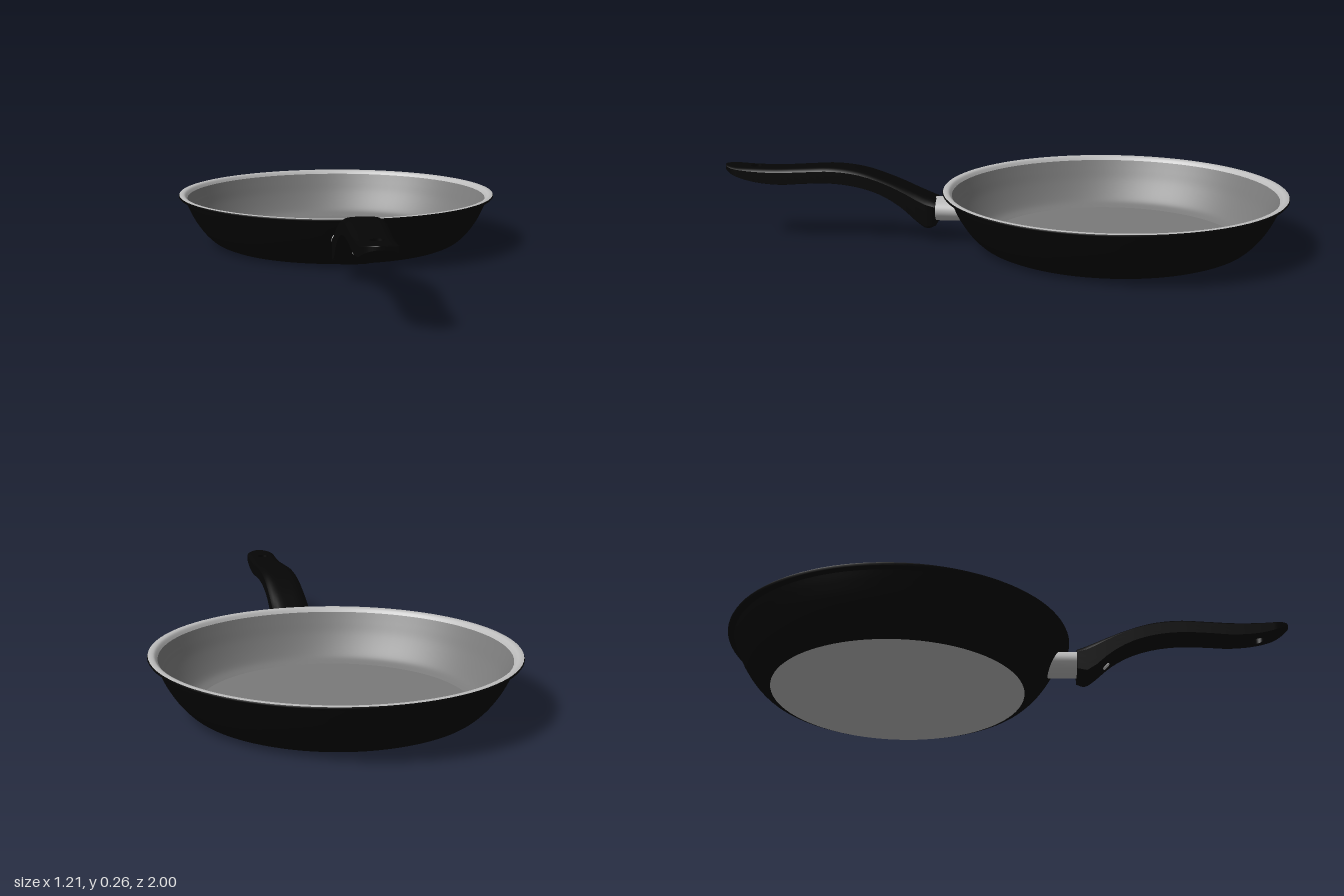
import * as THREE from 'three';
import { ParametricGeometry } from 'three/addons/geometries/ParametricGeometry.js';

const material = (name, color) => Object.assign(new THREE.MeshStandardMaterial({ color }), { name });
const black = material('black', 0x050505);
const coating = material('coating grey', 0x7a7a7a);
const steel = material('steel', 0xbcbcbc);

const PAN_Z = -0.395;
const BASE_Z = 0.235, TIP_Z = 1, HOLE_Z = 0.887, HOLE_R = 0.022;

function part(name, geometry, mat) {
  const mesh = new THREE.Mesh(geometry, mat);
  mesh.name = name;
  return mesh;
}

// Turns a profile of [radius, height] pairs around the pan's axis
function turned(name, points, mat, smoothSteps = 0) {
  let pts = points.map(([r, y]) => new THREE.Vector2(r, y));
  if (smoothSteps) pts = new THREE.SplineCurve(pts).getPoints(smoothSteps);
  return part(name, new THREE.LatheGeometry(pts, 96), mat);
}

function createPan() {
  const pan = new THREE.Group();
  pan.name = 'pan';
  pan.position.z = PAN_Z;
  pan.add(
    turned('base', [[0, 0], [0.445, 0]], steel),
    turned('outerWall', [[0.445, 0], [0.478, 0.016], [0.515, 0.052], [0.548, 0.1],
      [0.57, 0.145], [0.583, 0.176]], black, 24),
    turned('lip', [[0.583, 0.176], [0.602, 0.18], [0.606, 0.185], [0.604, 0.19]], black),
    turned('rim', [[0.604, 0.19], [0.594, 0.191], [0.583, 0.188], [0.573, 0.176]], steel, 10),
    turned('innerWall', [[0.573, 0.176], [0.557, 0.142], [0.536, 0.1], [0.507, 0.056],
      [0.48, 0.026], [0.45, 0.012]], coating, 24),
    turned('floor', [[0.45, 0.012], [0, 0.012]], coating),
  );
  return pan;
}

// Upper and lower edges of the handle seen from the side
const curve = (pairs) => {
  const c = new THREE.CubicInterpolant(pairs.map((p) => p[0]), pairs.map((p) => p[1]), 1);
  return (z) => c.evaluate(z)[0];
};
const topEdge = curve([[0.235, 0.15], [0.3, 0.178], [0.4, 0.22], [0.5, 0.252], [0.6, 0.264],
  [0.7, 0.26], [0.8, 0.255], [0.9, 0.256], [1, 0.262]]);
const bottomEdge = curve([[0.235, 0.056], [0.265, 0.046], [0.3, 0.068], [0.35, 0.115], [0.42, 0.16],
  [0.5, 0.188], [0.6, 0.202], [0.7, 0.2], [0.8, 0.194], [0.9, 0.205], [0.96, 0.225], [1, 0.248]]);

// Half width of the handle, with a round tip
function halfWidth(z) {
  const taper = 0.072 - (z - BASE_Z) * 0.023;
  const d = Math.max(0, (z - 0.945) / 0.055);
  return taper * Math.sqrt(Math.max(0, 1 - d * d));
}

// Plan point between the hole edge (s = 0) and the outline (s = 1)
function planPoint(u, s) {
  const side = u <= 0.5 ? 1 : -1;
  const t = 1 - Math.abs(1 - 2 * u);
  let x, z;
  if (t < 0.125) {
    x = halfWidth(BASE_Z) * t / 0.125;
    z = BASE_Z;
  } else {
    z = BASE_Z + (TIP_Z - BASE_Z) * Math.sin((t - 0.125) / 0.875 * Math.PI / 2);
    x = halfWidth(z);
  }
  const hx = HOLE_R * Math.sin(Math.PI * t), hz = HOLE_Z - HOLE_R * Math.cos(Math.PI * t);
  return [side * (hx + (x - hx) * s), hz + (z - hz) * s];
}

// Height on the handle: level 1 is the well rounded top skin, 0 the squarer underside
function handleSurface(u, s, level, target) {
  const [x, z] = planPoint(u, s);
  const edge = Math.min(1, Math.abs(x) / Math.max(halfWidth(z), 1e-5));
  const round = Math.pow(edge, 5);
  const top = topEdge(z), bottom = bottomEdge(z);
  const half = (top - bottom) / 2;
  const upper = top - half * 0.45 * round, lower = bottom + half * 0.2 * round;
  target.set(x, lower + (upper - lower) * level, z);
}

function createHandle() {
  const handle = new THREE.Group();
  handle.name = 'handle';
  const ease = (v) => 1 - (1 - v) * (1 - v);
  const skins = {
    handleTop: [(u, v, p) => handleSurface(u, ease(v), 1, p), 24],
    handleSide: [(u, v, p) => handleSurface(u, 1, 1 - v, p), 3],
    handleUnderside: [(u, v, p) => handleSurface(u, ease(1 - v), 0, p), 24],
    hangingHole: [(u, v, p) => handleSurface(u, 0, v, p), 2],
  };
  for (const [name, [fn, stacks]] of Object.entries(skins)) {
    handle.add(part(name, new ParametricGeometry(fn, 80, stacks), black));
  }

  // Screw head lying almost flush in the sloping underside
  const screw = part('screw', new THREE.CylinderGeometry(0.015, 0.015, 0.008, 16), steel);
  screw.position.set(0, bottomEdge(0.34), 0.34);
  screw.rotation.x = Math.PI * 0.75;
  handle.add(screw);
  return handle;
}

// Oval collar between pan and handle, its inner end slanted to follow the wall
function createCollar() {
  const g = new THREE.CylinderGeometry(1, 1, 1, 40);
  g.rotateX(Math.PI / 2);
  g.scale(0.066, 0.042, 1);
  const p = g.attributes.position;
  for (let i = 0; i < p.count; i++) {
    p.setZ(i, p.getZ(i) > 0 ? 0.25 : 0.15 + p.getY(i) * 0.6);
  }
  g.translate(0, 0.11, 0);
  g.computeVertexNormals();
  return part('collar', g, steel);
}

export function createModel() {
  const model = new THREE.Group();
  model.name = 'fryingPan';
  model.add(createPan(), createCollar(), createHandle());
  return model;
}
